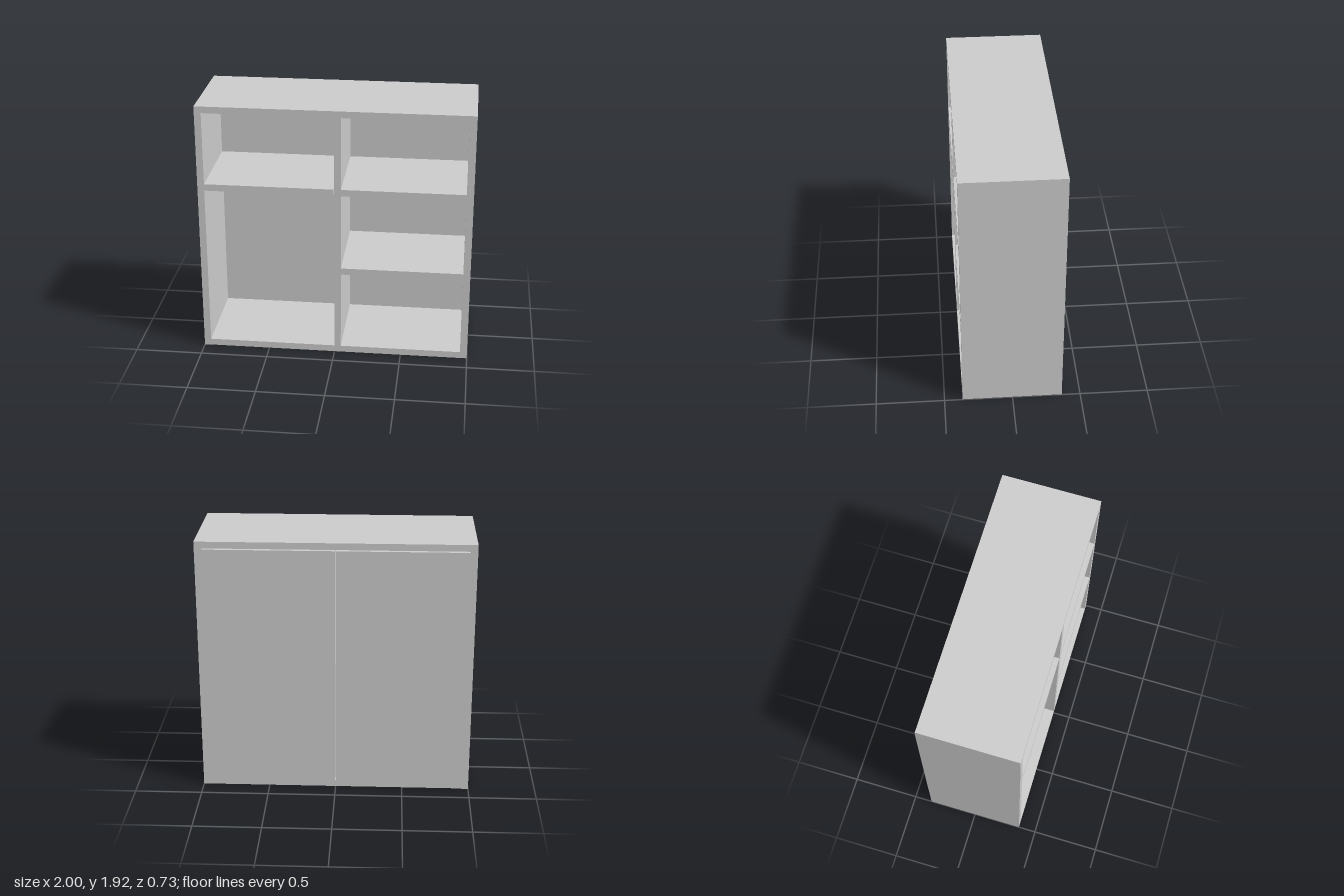
import * as THREE from 'three';

export function createModel() {
  const group = new THREE.Group();
  const material = new THREE.MeshStandardMaterial({ color: 0xcccccc, flatShading: true });
  const front = 0.367, back = -0.364;

  // A board given by its extents along each axis
  function board(name, x0, x1, y0, y1, z0 = back, z1 = front) {
    const mesh = new THREE.Mesh(new THREE.BoxGeometry(x1 - x0, y1 - y0, z1 - z0), material);
    mesh.name = name;
    mesh.position.set((x0 + x1) / 2, (y0 + y1) / 2, (z0 + z1) / 2);
    group.add(mesh);
  }

  // Outer case
  board('topBoard', -1, 1, 1.873, 1.922);
  board('bottomBoard', -0.95, 1, 0.003, 0.053);
  board('rightSide', -1, -0.95, 0, 1.873, -0.367);
  board('leftSide', 0.948, 1, 0.053, 1.873);

  // Centre divider, flush with the inner face of the back panels
  const panelFront = back + 0.05;
  board('divider', 0, 0.048, 0.053, 1.873, panelFront);

  // Shelves: one in the wide bay, two in the other
  board('rightBayShelf', -0.95, -0.008, 1.28, 1.33, panelFront);
  for (const y of [0.654, 1.28]) board('leftBayShelf', 0.048, 0.948, y, y + 0.05, panelFront);

  // Back panels with a narrow seam between them and a slit under the top
  board('rightBackPanel', -0.95, -0.003, 0.053, 1.864, back, panelFront);
  board('leftBackPanel', 0.003, 0.948, 0.053, 1.864, back, panelFront);

  return group;
}
